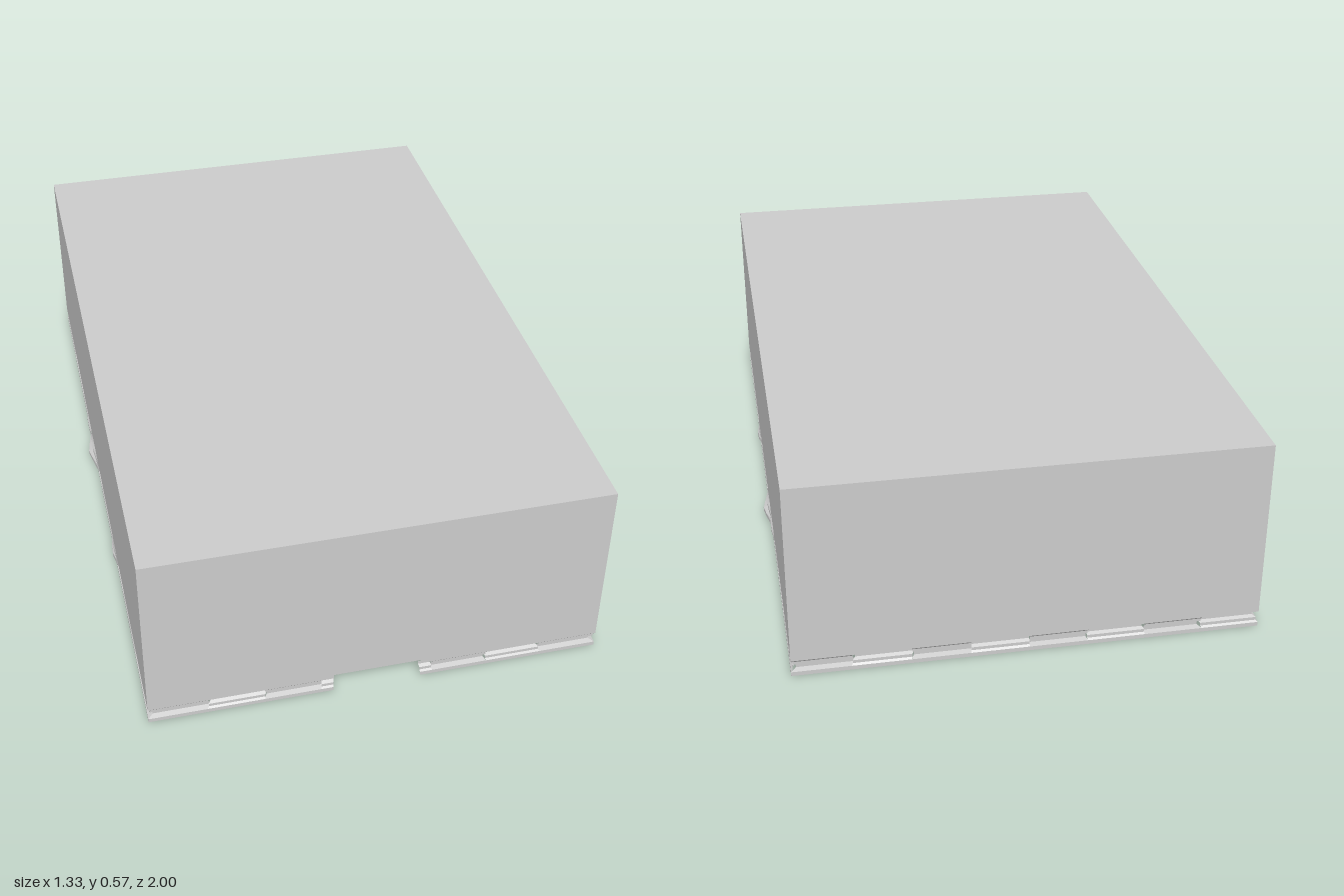
import * as THREE from 'three';

const W = 0.645, L = 1, TOP = 0.57, RIM = 0.06;
const material = new THREE.MeshStandardMaterial({ color: 0xcccccc, flatShading: true, side: THREE.DoubleSide });

// Small outward bulges of the seam on the long sides: [z, half width, reach]
const BULGES = [[-0.17, 0.1, 0.02], [-0.31, 0.06, 0.007], [0.32, 0.065, 0.01]];

// Inward depth of the seam at a point of the outline
function seamDepth(x, z) {
  let depth = 0.014;
  if (Math.abs(x) < W - 1e-6) return depth;
  for (const [c, half, reach] of BULGES) {
    const k = 1 - Math.abs(z - c) / half;
    if (k > 0) depth = Math.min(depth, -reach * k);
  }
  return depth;
}

function meshFromQuads(name, quads) {
  const positions = [];
  for (const [a, b, c, d] of quads) positions.push(...a, ...b, ...c, ...a, ...c, ...d);
  const geometry = new THREE.BufferGeometry();
  geometry.setAttribute('position', new THREE.Float32BufferAttribute(positions, 3));
  geometry.computeVertexNormals();
  const mesh = new THREE.Mesh(geometry, material);
  mesh.name = name;
  return mesh;
}

// Seam profile (height, fraction of depth): low or high groove
function profile(low) {
  return low
    ? [[0, 0], [0.012, 0], [0.017, 1], [0.028, 1], [0.033, 0.35], [0.041, 0.35], [0.047, 0], [RIM, 0]]
    : [[0, 0], [0.012, 0], [0.017, 0.35], [0.026, 0.35], [0.031, 1], [0.042, 1], [0.047, 0], [RIM, 0]];
}

// One seam section between outline points a and b, both [x, z]
function seamSection(a, b, low, quads) {
  const rows = profile(low), steps = 6;
  const at = (t, [y, f]) => {
    const x = a[0] + (b[0] - a[0]) * t, z = a[1] + (b[1] - a[1]) * t;
    const d = f * seamDepth(x, z);
    return [x * (1 - d / W), y, z * (1 - d / L)];
  };
  for (let i = 0; i < steps; i++) {
    for (let r = 0; r < rows.length - 1; r++) {
      const t = i / steps, u = (i + 1) / steps;
      quads.push([at(t, rows[r]), at(u, rows[r]), at(u, rows[r + 1]), at(t, rows[r + 1])]);
    }
  }
}

export function createModel() {
  const group = new THREE.Group();
  group.name = 'openBoxCover';

  // Hollow cover: four walls above the seam and the top panel
  const corners = [[-W, L], [W, L], [W, -L], [-W, -L]];
  const walls = corners.map(([x, z], i) => {
    const [u, v] = corners[(i + 1) % 4];
    return [[x, RIM, z], [u, RIM, v], [u, TOP, v], [x, TOP, z]];
  });
  group.add(meshFromQuads('walls', walls));
  group.add(meshFromQuads('topPanel', [corners.map(([x, z]) => [x, TOP, z])]));

  // Front rim, mirrored about the central cut-out
  const front = [];
  const cuts = [0.125, 0.16, 0.32, 0.48, W];
  for (let i = 0; i < 4; i++) {
    seamSection([cuts[i], L], [cuts[i + 1], L], i % 2 === 1, front);
    seamSection([-cuts[i + 1], L], [-cuts[i], L], i % 2 === 1, front);
  }
  group.add(meshFromQuads('frontRim', front));

  // Side rims with alternating sections
  for (const [name, s] of [['leftRim', 1], ['rightRim', -1]]) {
    const side = [];
    for (let i = 0; i < 8; i++) {
      const ends = [[s * W, L - i * 0.25], [s * W, L - (i + 1) * 0.25]];
      if (s < 0) ends.reverse();
      seamSection(ends[0], ends[1], i % 2 === 0, side);
    }
    group.add(meshFromQuads(name, side));
  }

  // Back rim
  const back = [], step = (2 * W) / 8;
  for (let i = 0; i < 8; i++) {
    seamSection([W - i * step, -L], [W - (i + 1) * step, -L], i % 2 === 0, back);
  }
  group.add(meshFromQuads('backRim', back));
  return group;
}
